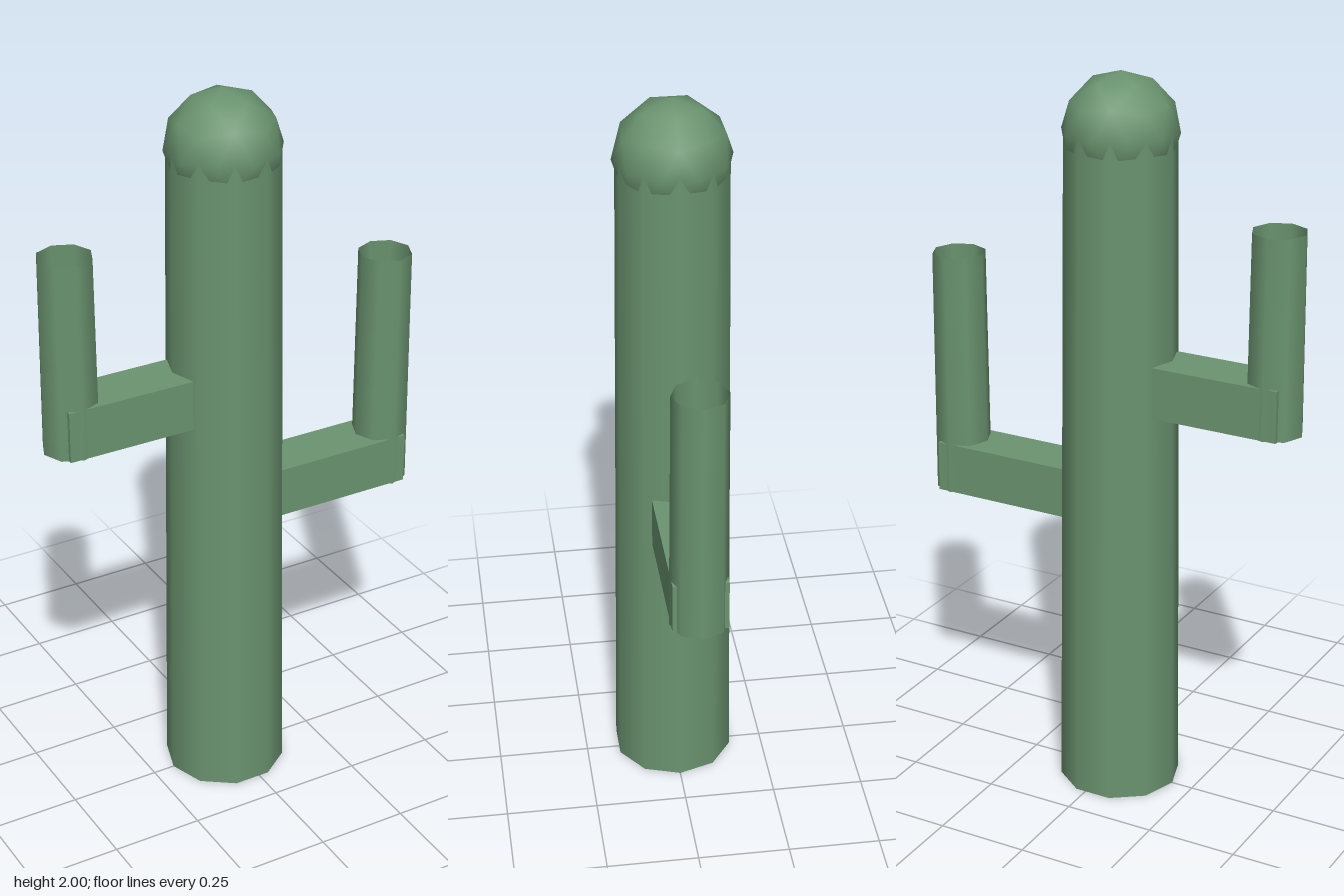
import * as THREE from 'three';
import { mergeGeometries } from 'three/addons/utils/BufferGeometryUtils.js';

// Tapered stem, closed at the bottom and open at the top, with corners on the x axis
function stemGeometry(bottomRadius, topRadius, height, sides) {
  const wall = new THREE.CylinderGeometry(topRadius, bottomRadius, height, sides, 1, true);
  wall.rotateY(Math.PI / 2).translate(0, height / 2, 0);
  const base = new THREE.CircleGeometry(bottomRadius, sides).rotateX(Math.PI / 2);
  return mergeGeometries([wall, base]);
}

export function createModel() {
  const group = new THREE.Group();
  const green = new THREE.MeshStandardMaterial({ color: 0x6b9470, side: THREE.DoubleSide });
  green.name = 'cactus green';

  const add = (name, geometry, x, y, parent = group) => {
    const mesh = new THREE.Mesh(geometry, green);
    mesh.name = name;
    mesh.position.set(x, y, 0);
    parent.add(mesh);
  };

  // Trunk
  const trunkX = -0.023;
  add('trunk', stemGeometry(0.166, 0.147, 1.85, 10), trunkX, 0);

  // Faceted round top, turned so that one corner points straight up
  const crown = new THREE.IcosahedronGeometry(0.154, 1);
  crown.rotateZ(-Math.atan(2 / (1 + Math.sqrt(5))));
  add('crown', crown, trunkX, 1.846);

  // Arms: a square branch reaching out and an open upright stem
  const arms = [
    { name: 'leftArm', side: 1, inner: 0.11, y: 0.775, top: 1.45 },
    { name: 'rightArm', side: -1, inner: 0.155, y: 1.112, top: 1.647 },
  ];
  for (const { name, side, inner, y, top } of arms) {
    const arm = new THREE.Group();
    arm.name = name;
    group.add(arm);
    const outer = 0.508;
    add('branch', new THREE.BoxGeometry(outer - inner, 0.14, 0.145),
      side * (inner + outer) / 2, y + 0.07, arm);
    add('upright', stemGeometry(0.077, 0.073, top - y, 8), side * 0.471, y, arm);
  }
  return group;
}
